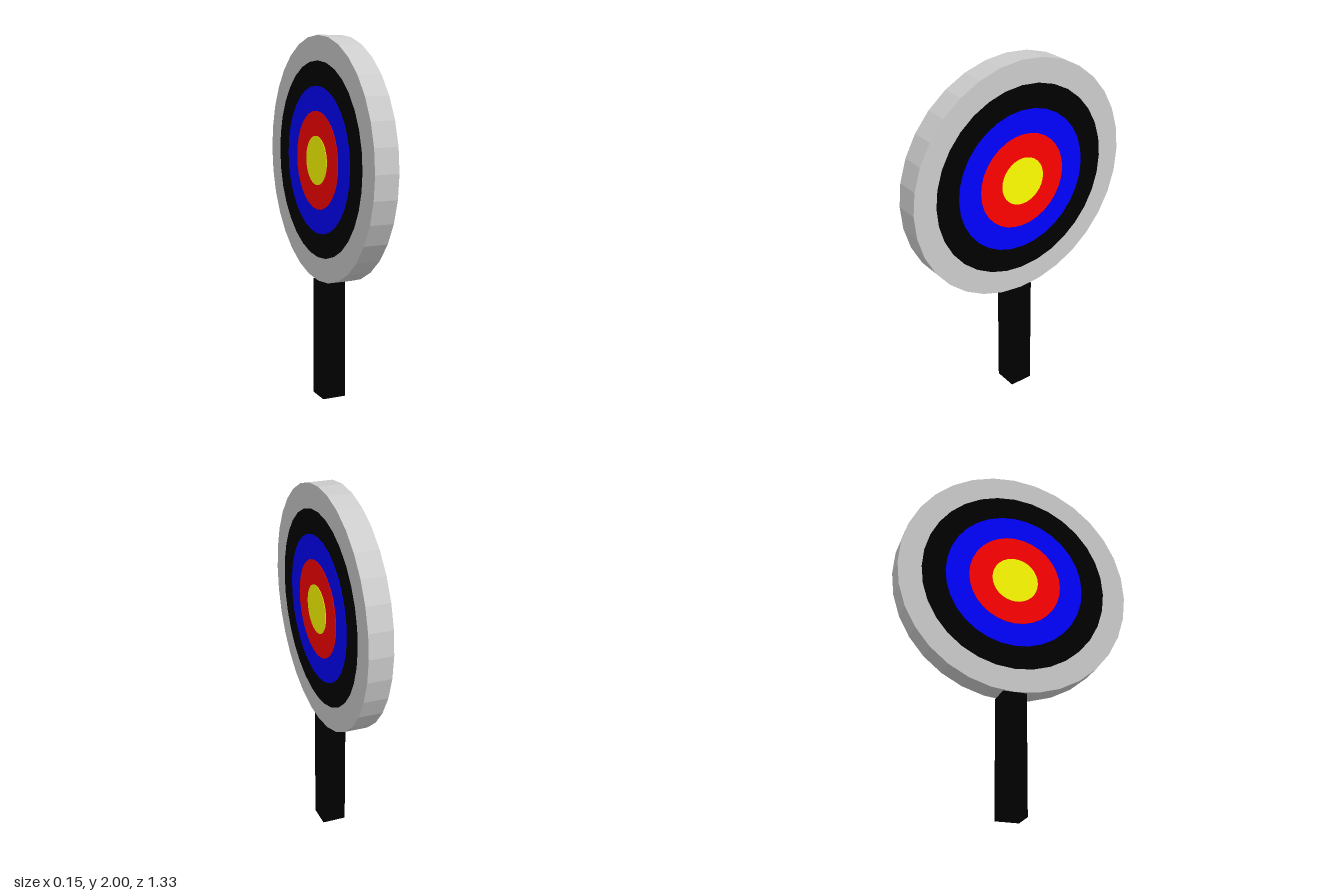
import * as THREE from 'three';

const RADIUS = 2 / 3;
const CENTRE_Y = 4 / 3;
const HALF = RADIUS / 10; // half thickness of the board and of the post
const STEP = 0.0027; // each ring stands slightly proud of the last

export function createModel() {
  const group = new THREE.Group();
  const add = (name, geometry, color, y) => {
    const material = new THREE.MeshStandardMaterial({ color, flatShading: true });
    const mesh = new THREE.Mesh(geometry, material);
    mesh.name = name;
    mesh.position.y = y;
    group.add(mesh);
  };

  // Board and coloured rings: nested discs, each smaller and thicker, showing on both sides
  const discs = [
    ['board', 0xcccccc],
    ['blackRing', 0x000000],
    ['blueRing', 0x0000ff],
    ['redRing', 0xff0000],
    ['bullseye', 0xffff00],
  ];
  discs.forEach(([name, color], i) => {
    const r = RADIUS * (1 - i / 5);
    const disc = new THREE.CylinderGeometry(r, r, 2 * (HALF + i * STEP), 32);
    disc.rotateZ(Math.PI / 2);
    add(name, disc, color, CENTRE_Y);
  });

  // Square post reaching up to the lowest point of the board
  add('post', new THREE.BoxGeometry(2 * HALF, RADIUS, 2 * HALF), 0x000000, RADIUS / 2);

  return group;
}
